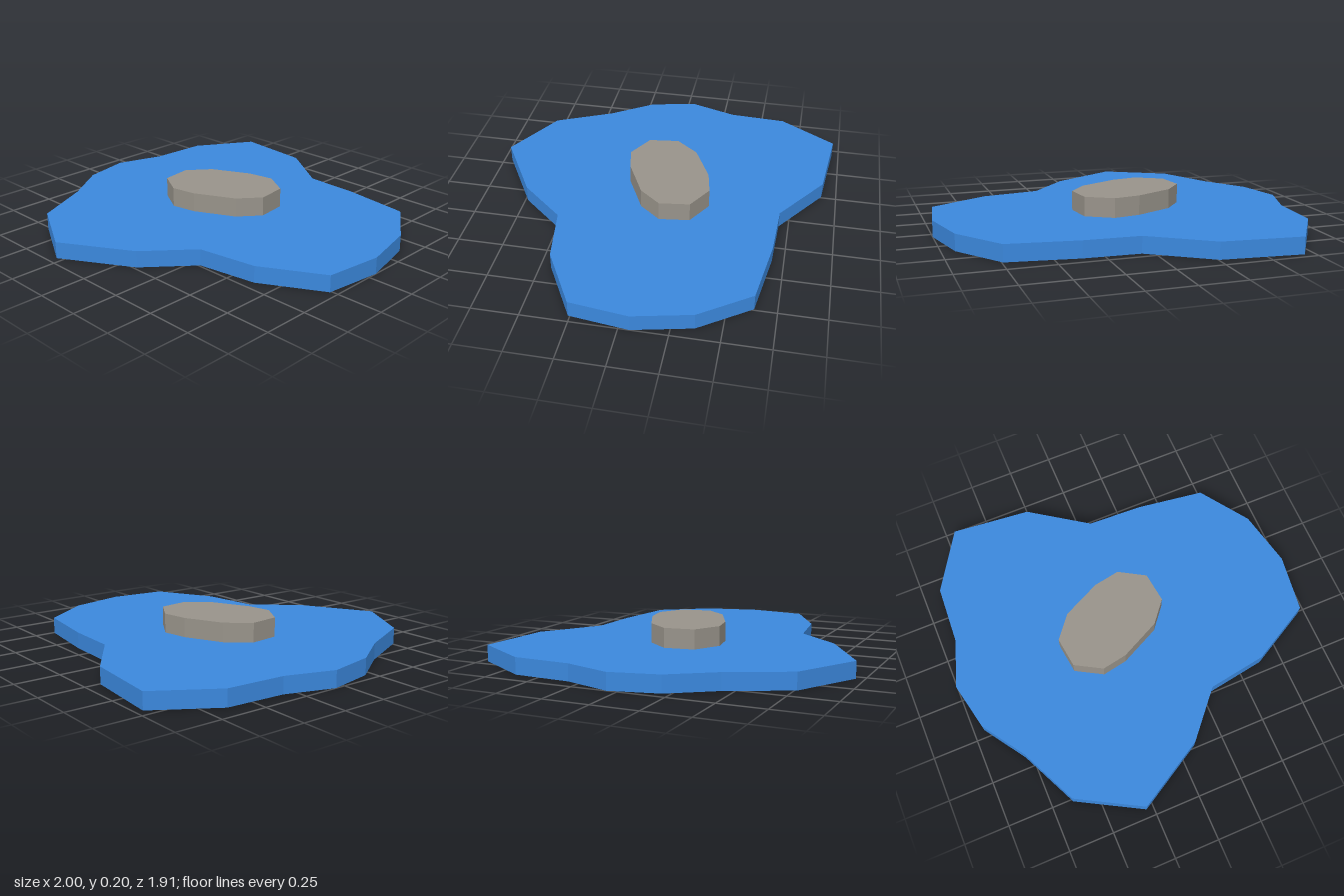
import * as THREE from 'three';

// Outlines as [x, z], clockwise seen from above
const lakeOutline = [
  [-0.695, -0.96], [-0.257, -0.917], [0.061, -0.698], [0.364, -0.687], [0.743, -0.634], [0.93, -0.366],
  [1.0, -0.056], [0.96, 0.26], [0.631, 0.441], [0.305, 0.492], [0.091, 0.735], [-0.289, 0.955],
  [-0.636, 0.762], [-0.786, 0.441], [-0.944, 0.206], [-1.0, -0.056], [-0.914, -0.318], [-0.896, -0.639],
];
const stoneOutline = [
  [-0.385, -0.056], [-0.285, -0.18], [-0.075, -0.281], [0.07, -0.307], [0.214, -0.222],
  [0.235, -0.056], [0.139, 0.061], [-0.08, 0.168], [-0.219, 0.193], [-0.364, 0.11],
];
const coreOutline = [
  [-0.178, -0.019], [-0.195, -0.127], [-0.064, -0.145], [0.031, -0.13], [0.001, 0.014], [-0.13, 0.054],
];

// Slab with a flat top and upright walls, open underneath
function openSlab(name, outline, bottom, top, material) {
  const group = new THREE.Group();
  group.name = name;

  const shape = new THREE.Shape(outline.map(([x, z]) => new THREE.Vector2(x, -z)));
  const cap = new THREE.Mesh(new THREE.ShapeGeometry(shape).rotateX(-Math.PI / 2), material);
  cap.position.y = top;
  cap.name = name + 'Top';

  const positions = [];
  outline.forEach(([ax, az], i) => {
    const [bx, bz] = outline[(i + 1) % outline.length];
    positions.push(ax, bottom, az, bx, top, bz, bx, bottom, bz);
    positions.push(ax, bottom, az, ax, top, az, bx, top, bz);
  });
  const geometry = new THREE.BufferGeometry();
  geometry.setAttribute('position', new THREE.Float32BufferAttribute(positions, 3));
  geometry.computeVertexNormals();
  const wall = new THREE.Mesh(geometry, material);
  wall.name = name + 'Wall';

  group.add(cap, wall);
  return group;
}

export function createModel() {
  const water = new THREE.MeshStandardMaterial({ name: 'waterBlue', color: 0x3b88dd, side: THREE.DoubleSide });
  const rock = new THREE.MeshStandardMaterial({ name: 'rockGrey', color: 0x98938a, side: THREE.DoubleSide });

  const model = new THREE.Group();
  model.name = 'pondWithStone';
  model.add(
    openSlab('pond', lakeOutline, 0, 0.091, water),
    openSlab('stone', stoneOutline, 0.02, 0.198, rock),
    // Smaller stone nested inside, showing only from below
    openSlab('innerStone', coreOutline, 0.02, 0.17, rock),
  );
  return model;
}
